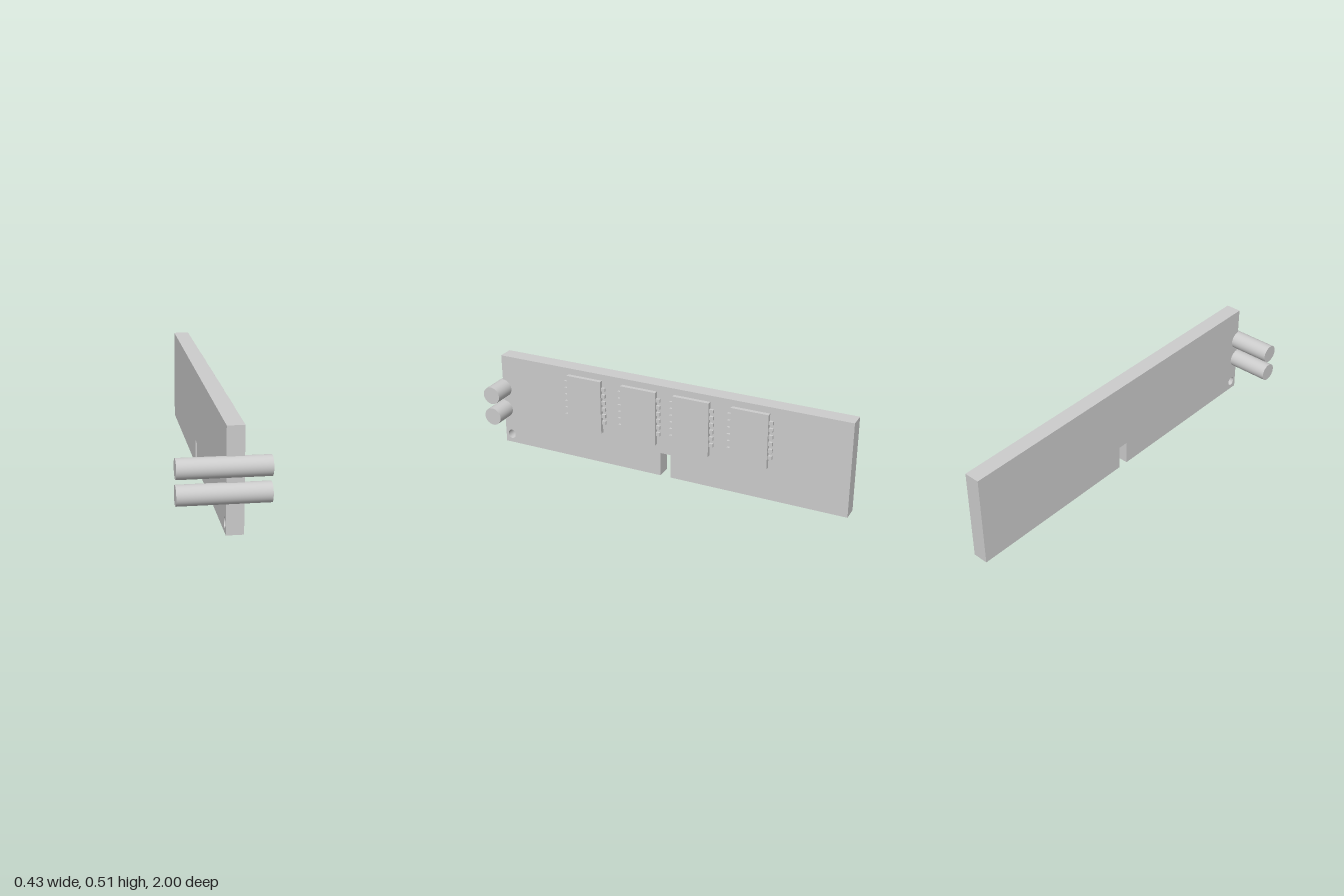
import * as THREE from 'three';

export function createModel() {
  const model = new THREE.Group();
  const material = new THREE.MeshStandardMaterial({ color: 0xcccccc });

  const add = (parent, name, geometry, x = 0, y = 0, z = 0) => {
    const mesh = new THREE.Mesh(geometry, material);
    mesh.name = name;
    mesh.position.set(x, y, z);
    parent.add(mesh);
    return mesh;
  };

  // Board: side outline (horizontal axis is -z) with key notch and mounting hole
  const boardX = 0.011, boardFace = 0.093;
  const outline = new THREE.Shape();
  outline.moveTo(-0.955, 0);
  outline.lineTo(-0.01, 0);
  outline.lineTo(-0.01, 0.13);
  outline.lineTo(0.047, 0.13);
  outline.lineTo(0.047, 0);
  outline.lineTo(1, 0);
  outline.lineTo(1, 0.507);
  outline.lineTo(-0.955, 0.507);
  outline.closePath();
  const hole = new THREE.Path();
  hole.absellipse(-0.918, 0.048, 0.022, 0.026, 0, Math.PI * 2, true);
  outline.holes.push(hole);
  const boardGeometry = new THREE.ExtrudeGeometry(outline, {
    depth: boardFace - boardX, bevelEnabled: false, curveSegments: 24,
  });
  boardGeometry.rotateY(Math.PI / 2);
  add(model, 'board', boardGeometry, boardX);

  // Memory chips with a row of six pins along each side
  const chipDepth = 0.022, chipWidth = 0.198, pinDepth = 0.013, pinSize = 0.019;
  const chipGeometry = new THREE.BoxGeometry(chipDepth, 0.294, chipWidth);
  const pinGeometry = new THREE.BoxGeometry(pinDepth, pinSize, 0.022);
  [0.442, 0.127, -0.167, -0.482].forEach((z) => {
    const chip = new THREE.Group();
    chip.name = 'chip';
    chip.position.set(boardFace, 0, z);
    add(chip, 'chipBody', chipGeometry, chipDepth / 2, 0.326, 0);
    for (const side of [-1, 1]) {
      for (let i = 0; i < 6; i++) {
        add(chip, 'pin', pinGeometry, pinDepth / 2, 0.24 + i * 0.0374, side * (chipWidth / 2 + 0.01));
      }
    }
    model.add(chip);
  });

  // Two crosswise rods at the front edge
  const rodGeometry = new THREE.CylinderGeometry(0.048, 0.048, 0.427, 48);
  rodGeometry.rotateZ(Math.PI / 2);
  for (const y of [0.197, 0.319]) add(model, 'rod', rodGeometry, 0, y, 0.952);

  return model;
}
